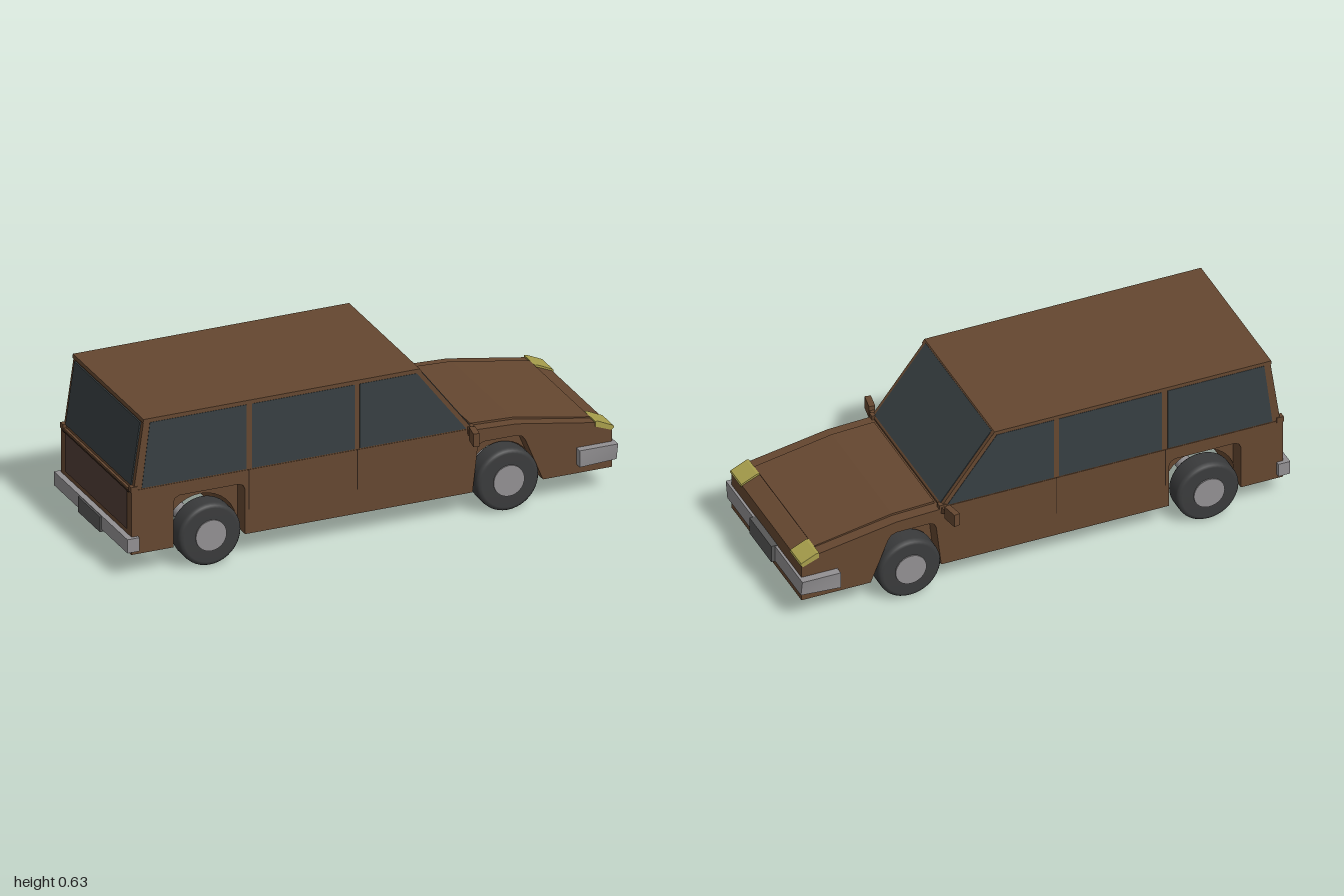
import * as THREE from 'three';

const mat = (color) => new THREE.MeshStandardMaterial({ color });
const paint = mat(0x654730), glass = mat(0x373f42), rubber = mat(0x3a3b3c), metal = mat(0x929092);
const lamp = mat(0xa89f4c), plateGrey = mat(0x575757), seamDark = mat(0x2c1f16), tailgatePaint = mat(0x4f3c35);

export function createModel() {
  const car = new THREE.Group();
  car.name = 'estateCar';

  const add = (name, geo, material, x = 0, y = 0, z = 0) => {
    const m = new THREE.Mesh(geo, material);
    m.name = name;
    m.position.set(x, y, z);
    car.add(m);
    return m;
  };
  // Side profile (x, y) extruded from z0 to z1
  const slab = (name, pts, z0, z1, material) => {
    const shape = new THREE.Shape(pts.map(([x, y]) => new THREE.Vector2(x, y)));
    const geo = new THREE.ExtrudeGeometry(shape, { depth: z1 - z0, bevelEnabled: false });
    return add(name, geo, material, 0, 0, z0);
  };
  // Box given by its limits
  const box = (name, x0, x1, y0, y1, z0, z1, material) =>
    add(name, new THREE.BoxGeometry(x1 - x0, y1 - y0, z1 - z0), material,
      (x0 + x1) / 2, (y0 + y1) / 2, (z0 + z1) / 2);

  // Lower body: bottom edge carries the wheel openings
  const floor = 0.093;
  const roundArch = (cx, r) => {
    const pts = [];
    for (let i = 0; i <= 16; i++) {
      const a = Math.PI * (1 - i / 16);
      pts.push([cx + r * Math.cos(a), i === 0 || i === 16 ? floor : 0.11 + r * Math.sin(a)]);
    }
    return pts;
  };
  const rearArch = [[-0.8, floor], [-0.8, 0.275], [-0.793, 0.292], [-0.775, 0.3],
    [-0.535, 0.3], [-0.518, 0.292], [-0.51, 0.275], [-0.51, floor]];
  const frontArch = [[0.41, floor], [0.43, 0.265], [0.438, 0.283], [0.455, 0.291],
    [0.59, 0.291], [0.612, 0.283], [0.625, 0.265], [0.695, floor]];
  const bodyProfile = (rear, front) => [[-0.97, floor], ...rear, ...front, [0.975, floor],
    [0.975, 0.256], [0.91, 0.284], [0.59, 0.338], [0.41, 0.345], [0.41, 0.352], [-0.97, 0.352]];
  slab('bodyCore', bodyProfile(roundArch(-0.66, 0.147), roundArch(0.55, 0.135)), -0.25, 0.25, paint);
  for (const s of [1, -1]) {
    const [z0, z1] = s > 0 ? [0.25, 0.32] : [-0.32, -0.25];
    slab('bodySide', bodyProfile(rearArch, frontArch), z0, z1, paint);
  }

  // Cabin, roof edge and bonnet
  slab('cabin', [[-0.96, 0.352], [0.41, 0.352], [0.2, 0.625], [-0.92, 0.625]], -0.318, 0.318, paint);
  slab('roof', [[-0.924, 0.62], [0.206, 0.62], [0.196, 0.635], [-0.922, 0.635]], -0.322, 0.322, paint);
  slab('bonnet', [[0.415, 0.335], [0.9, 0.275], [0.905, 0.29], [0.59, 0.346], [0.42, 0.353]], -0.275, 0.275, paint);

  // Windscreen and rear window
  slab('windscreen', [[0.39, 0.362], [0.406, 0.362], [0.2, 0.63], [0.184, 0.63]], -0.302, 0.302, glass);
  slab('rearWindow', [[-0.963, 0.365], [-0.94, 0.365], [-0.91, 0.615], [-0.927, 0.615]], -0.298, 0.298, glass);
  box('tailgate', -0.973, -0.96, 0.185, 0.34, -0.28, 0.28, tailgatePaint);
  box('tailgateSeam', -0.974, -0.96, 0.34, 0.344, -0.3, 0.3, seamDark);

  const sideWindows = [
    [[-0.928, 0.356], [-0.505, 0.356], [-0.505, 0.617], [-0.895, 0.617]],
    [[-0.482, 0.356], [-0.066, 0.356], [-0.066, 0.617], [-0.482, 0.617]],
    [[-0.046, 0.356], [0.385, 0.356], [0.185, 0.617], [-0.046, 0.617]],
  ];
  for (const s of [1, -1]) {
    const side = (near, far) => (s > 0 ? [near, far] : [-far, -near]);
    for (const w of sideWindows) slab('sideWindow', w, ...side(0.312, 0.3195), glass);

    // Door seams
    for (const x of [-0.495, -0.056]) {
      box('doorSeam', x - 0.0015, x + 0.0015, 0.19, 0.352, ...side(0.315, 0.3207), seamDark);
    }
    // Windscreen pillar foot and rear corner ledge
    box('pillarFoot', 0.39, 0.418, 0.335, 0.362, ...side(0.298, 0.322), paint);
    box('rearLedge', -0.973, -0.945, 0.345, 0.367, ...side(0.298, 0.322), paint);

    // Headlamp wrapping over the nose
    slab('headlamp', [[0.905, 0.27], [0.97, 0.245], [0.981, 0.255], [0.978, 0.262], [0.915, 0.291], [0.905, 0.291]],
      ...side(0.225, 0.324), lamp);

    // Door mirror: angled housing on a tapered arm
    const mirror = new THREE.Group();
    mirror.name = 'doorMirror';
    const armShape = new THREE.Shape([[0, 0.332], [0.05, 0.322], [0.05, 0.366], [0, 0.35]]
      .map(([x, y]) => new THREE.Vector2(x, y)));
    armShape.curves.length = 0;
    armShape.moveTo(0, 0.325).lineTo(0.03, 0.338).lineTo(0.03, 0.354).lineTo(0, 0.352).closePath();
    const arm = new THREE.Mesh(new THREE.ExtrudeGeometry(armShape, { depth: 0.018, bevelEnabled: false }), paint);
    arm.name = 'mirrorArm';
    arm.rotation.y = -s * Math.PI / 2;
    arm.position.set(s * 0.009, 0, 0);
    const housing = new THREE.Mesh(new THREE.BoxGeometry(0.024, 0.053, 0.067), paint);
    housing.name = 'mirrorHousing';
    housing.position.set(0, 0.346, s * 0.061);
    mirror.add(arm, housing);
    mirror.position.set(0.402, 0, s * 0.317);
    mirror.rotation.y = -s * 0.17;
    car.add(mirror);
  }

  // Bumpers with plates; the front one tapers inward at its lower ends
  const frontBumper = box('frontBumper', 0.83, 0.985, 0.13, 0.197, -0.352, 0.352, metal);
  const p = frontBumper.geometry.attributes.position;
  for (let i = 0; i < p.count; i++) {
    if (p.getY(i) < 0 && p.getX(i) > 0) p.setZ(i, p.getZ(i) * 0.96);
  }
  frontBumper.geometry.computeVertexNormals();
  box('frontPlate', 0.97, 1.0, 0.129, 0.2, -0.1, 0.1, plateGrey);
  box('rearBumper', -0.993, -0.945, 0.11, 0.165, -0.335, 0.335, metal);
  box('rearPlate', -1.0, -0.98, 0.1, 0.162, -0.1, 0.1, plateGrey);

  // Wheels and axles
  const tyreProfile = [[0, -0.047], [0.108, -0.047], [0.118, -0.044], [0.124, -0.036], [0.125, -0.028],
    [0.125, 0.028], [0.124, 0.036], [0.118, 0.044], [0.108, 0.047], [0, 0.047]]
    .map(([r, y]) => new THREE.Vector2(r, y));
  const tyreGeo = new THREE.LatheGeometry(tyreProfile, 40).rotateX(Math.PI / 2);
  const hubGeo = new THREE.CylinderGeometry(0.062, 0.062, 0.1, 32).rotateX(Math.PI / 2);
  const axleGeo = new THREE.CylinderGeometry(0.03, 0.03, 0.52, 24).rotateX(Math.PI / 2);
  for (const x of [-0.66, 0.545]) {
    add('axle', axleGeo, metal, x, 0.108, 0);
    for (const s of [1, -1]) {
      add('tyre', tyreGeo, rubber, x, 0.127, s * 0.298);
      add('hub', hubGeo, metal, x, 0.127, s * 0.3);
    }
  }
  return car;
}
